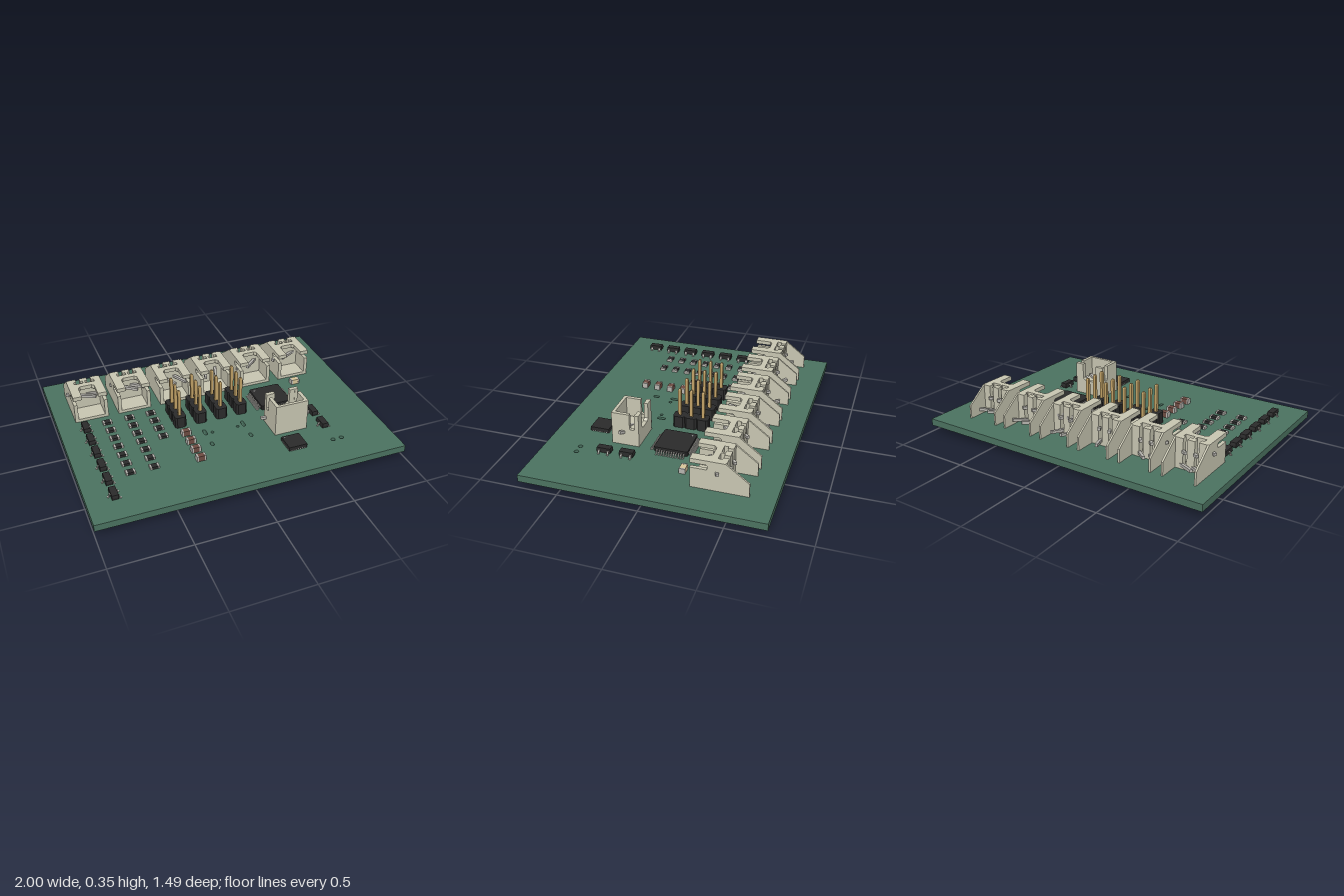
import * as THREE from 'three';

const paint = (color, extra = {}) => new THREE.MeshStandardMaterial({ color, flatShading: true, ...extra });
const mats = {
  board: paint(0x4b7260), housing: paint(0xc8c6b2), black: paint(0x2b2b2b), gold: paint(0xc2a266),
  metal: paint(0xb8b6b0), brown: paint(0x6e4c42), tan: paint(0xd8c69a), grey: paint(0x888888),
};
const TOP = 0.105; // upper face of the board

function add(parent, name, geo, mat, x = 0, y = 0, z = 0) {
  const m = new THREE.Mesh(geo, mats[mat]);
  m.name = name;
  m.position.set(x, y, z);
  parent.add(m);
  return m;
}
function group(parent, name, x = 0, y = 0, z = 0) {
  const g = new THREE.Group();
  g.name = name;
  g.position.set(x, y, z);
  parent.add(g);
  return g;
}
const box = (w, h, d) => new THREE.BoxGeometry(w, h, d);
const poly = (pts) => new THREE.Shape(pts.map(([x, y]) => new THREE.Vector2(x, y)));
const extrude = (shape, depth) => new THREE.ExtrudeGeometry(shape, { depth, bevelEnabled: false, curveSegments: 8 });
// plan (x, z) outline, extruded downwards from y = 0
const plan = (shape, t) => extrude(shape, t).rotateX(Math.PI / 2);
// side (z, y) outline, centred in x
const side = (shape, t) => extrude(shape, t).rotateY(-Math.PI / 2).translate(t / 2, 0, 0);

// square wire through a list of [y, z] points
function wire(parent, name, x, pts, s = 0.018) {
  for (let i = 1; i < pts.length; i++) {
    const a = new THREE.Vector3(x, ...pts[i - 1]), b = new THREE.Vector3(x, ...pts[i]);
    const m = add(parent, name, box(s, s, a.distanceTo(b) + s * 0.5), 'metal');
    m.position.copy(a).lerp(b, 0.5);
    m.lookAt(b);
  }
}

function slotHole(x, z, r, half) {
  const p = new THREE.Path();
  p.absarc(x, z + half, r, 0, Math.PI, false);
  p.absarc(x, z - half, r, Math.PI, Math.PI * 2, false);
  p.closePath();
  return p;
}

function buildBoard(parent) {
  const s = poly([[-1, -0.745], [1, -0.745], [1, 0.745], [-1, 0.745]]);
  for (const x of [-0.125, 0.14]) s.holes.push(slotHole(x, 0.16, 0.011, 0.017), slotHole(x, 0.29, 0.011, 0.009));
  for (const x of [-0.08, 0.096]) s.holes.push(slotHole(x, 0.175, 0.01, 0.0005));
  for (const x of [0.607, 0.667]) s.holes.push(slotHole(x, 0.523, 0.014, 0.0005));
  add(parent, 'board', plan(s, 0.045), 'board', 0, TOP, 0);
}

// Socket: opens towards +z, rear at z = 0, top at y = 0, keyed U notch in the top wall.
const W = 0.2225, DEPTH = 0.215;
function buildHousing(parent, H, wings) {
  const g = group(parent, 'connectorHousing');
  // side profile with the slot near the open end
  const wall = (rear) => {
    const slot = [[DEPTH, -0.06], [0.118, -0.06], [0.111, -0.053], [0.111, -0.035], [0.118, -0.028], [DEPTH, -0.028]];
    return poly([[rear, -H], [DEPTH, -H], ...slot, [DEPTH, 0], [0.005, 0], [rear, rear < 0 ? -0.106 : 0]]);
  };
  for (const s of [-1, 1]) {
    add(g, 'sideWall', side(wall(wings ? -0.135 : 0), 0.012), 'housing', s * (W / 2 - 0.006));
    add(g, 'wallLining', side(wall(0), 0.011), 'housing', s * (W / 2 - 0.0175));
  }
  const inner = W / 2 - 0.023;
  // rear edge with a T-shaped relief around each pin
  const rearEdge = [];
  for (const x of [-0.037, 0.037]) {
    rearEdge.push([x - 0.013, 0], [x - 0.013, 0.035], [x - 0.03, 0.035], [x - 0.03, 0.06],
      [x + 0.03, 0.06], [x + 0.03, 0.035], [x + 0.013, 0.035], [x + 0.013, 0]);
  }
  const relief = wings ? rearEdge : [];
  const base = poly([[-inner, 0], ...relief, [inner, 0], [inner, 0.085], [-inner, 0.085]]);
  add(g, 'rearBlock', plan(base, H - 0.036), 'housing', 0, -0.024, 0);
  const u = 0.053;
  const lid = poly([[-inner, 0], ...relief, [inner, 0], [inner, DEPTH], [u, DEPTH], [u, 0.113], [u - 0.015, 0.098],
    [-u + 0.015, 0.098], [-u, 0.113], [-u, DEPTH], [-inner, DEPTH]]);
  add(g, 'notchedWall', plan(lid, 0.026), 'housing');
  add(g, 'plainWall', box(inner * 2, 0.02, DEPTH), 'housing', 0, -H + 0.01, DEPTH / 2);
  return g;
}

function buildSideConnector(parent, x) {
  const g = group(parent, 'sideConnector', x, 0, -0.457);
  buildHousing(g, 0.192, true).position.y = 0.297;
  for (const px of [-0.037, 0.037]) {
    wire(g, 'connectorPin', px, [[0.225, 0.19], [0.225, -0.002], [0.21, -0.014], [0.055, -0.005], [0.004, -0.018]]);
  }
}

function buildUprightConnector(parent) {
  const g = group(parent, 'uprightConnector', 0.393, 0, 0.176);
  const h = buildHousing(g, 0.176, false);
  h.rotation.x = -Math.PI / 2;
  h.position.y = TOP;
  for (const px of [-0.035, 0.035]) wire(g, 'connectorPin', px, [[0.29, 0.068], [0.055, 0.062], [0.004, 0.074]]);
}

// three-way pin header
function buildHeader(parent, x) {
  const g = group(parent, 'pinHeader', x, 0, -0.058);
  const a = 0.0375, c = 0.012, p = 0.077;
  const right = [], left = [];
  for (const z of [-p, 0, p]) {
    right.push([a - c, z - p / 2], [a, z - p / 2 + c], [a, z + p / 2 - c], [a - c, z + p / 2]);
    left.unshift([c - a, z + p / 2], [-a, z + p / 2 - c], [-a, z - p / 2 + c], [c - a, z - p / 2]);
  }
  // shared corners between neighbouring sections appear once
  const outline = [...right, ...left].filter((q, i, l) => i === 0 || Math.hypot(q[0] - l[i - 1][0], q[1] - l[i - 1][1]) > 1e-4);
  add(g, 'headerBody', plan(poly(outline), 0.078), 'black', 0, TOP + 0.078, 0);
  const prof = [[0, 0.018], [0.008, 0.018], [0.014, 0.028], [0.014, 0.36], [0.008, 0.37], [0, 0.37]];
  const pin = new THREE.LatheGeometry(prof.map((q) => new THREE.Vector2(...q)), 4).rotateY(Math.PI / 4);
  for (const z of [-p, 0, p]) add(g, 'headerPin', pin, 'gold', 0, 0, z);
}

// bent lead running along +x
function lead(L, h, w) {
  const t = 0.005;
  return extrude(poly([[-0.004, h - t], [0.25 * L, h - t], [0.4 * L, 0], [L, 0], [L, t], [0.6 * L, t], [0.4 * L, h], [-0.004, h]]), w)
    .translate(0, 0, -w / 2);
}

function buildTransistor(parent, x, z, flip) {
  const g = group(parent, 'transistor', x, TOP, z);
  if (flip) g.rotation.y = Math.PI;
  const a = 0.022, b = 0.019;
  const body = side(poly([[-0.043, 0.005], [0.043, 0.005], [0.046, 0.02], [0.043, 0.037], [-0.043, 0.037], [-0.046, 0.02]]), a + b);
  add(g, 'transistorBody', body, 'black', (a - b) / 2, 0, 0);
  const l = lead(0.018, 0.022, 0.013);
  for (const lz of [-0.029, 0.029]) add(g, 'transistorLead', l, 'metal', a, 0, lz);
  add(g, 'transistorLead', l, 'metal', -b, 0, 0).rotation.y = Math.PI;
}

// two-terminal chip, long side along x
function buildChip(parent, name, x, z, h, mat, ends) {
  const g = group(parent, name, x, TOP, z);
  add(g, name + 'Body', box(0.038, h, 0.037), mat, 0, h / 2, 0);
  for (const s of [-1, 1]) add(g, name + 'Terminal', box(0.011, h + 0.001, 0.038), ends, s * 0.0245, h / 2, 0);
}

function buildProcessor(parent) {
  const g = group(parent, 'processor', 0.42, TOP, -0.035);
  const half = 0.107, c = 0.008;
  const e = half - c;
  const shape = poly([[-e, -half], [e, -half], [half, -e], [half, e], [e, half], [-e, half], [-half, e], [-half, -e]]);
  add(g, 'processorBody', plan(shape, 0.032), 'black', 0, 0.037, 0);
  add(g, 'pinOneMark', new THREE.CylinderGeometry(0.007, 0.007, 0.001, 12), 'grey', -0.08, 0.0372, -0.08);
  const l = lead(0.03, 0.022, 0.008);
  for (let k = 0; k < 4; k++) {
    const row = group(g, 'leadRow');
    row.rotation.y = k * Math.PI / 2;
    for (let i = 0; i < 12; i++) add(row, 'processorLead', l, 'metal', half, 0, (i - 5.5) * 0.0154);
  }
}

export function createModel() {
  const model = new THREE.Group();
  model.name = 'circuitBoard';
  buildBoard(model);
  for (let i = 0; i < 6; i++) buildSideConnector(model, -0.765 + i * 0.291);
  buildUprightConnector(model);
  for (let i = 0; i < 4; i++) buildHeader(model, -0.249 + i * 0.1417);
  buildProcessor(model);

  // small flat chip with edge contacts
  const flat = group(model, 'flatChip', 0.355, TOP, 0.476);
  add(flat, 'flatChipBody', box(0.122, 0.027, 0.122), 'black', 0, 0.0145, 0);
  add(flat, 'pinOneMark', new THREE.CylinderGeometry(0.006, 0.006, 0.001, 12), 'grey', -0.045, 0.0283, -0.045);
  for (let k = 0; k < 4; k++) {
    const row = group(flat, 'contactRow');
    row.rotation.y = k * Math.PI / 2;
    for (let i = 0; i < 7; i++) add(row, 'contact', box(0.012, 0.006, 0.007), 'metal', 0.0555, 0.003, (i - 3) * 0.015);
  }

  for (let i = 0; i < 6; i++) buildTransistor(model, -0.833, -0.142 + i * 0.137, false);
  for (const z of [0.211, 0.356]) buildTransistor(model, 0.615, z, false);

  // resistor columns, capacitors and indicator light
  [[-0.685, 7], [-0.535, 7], [-0.39, 4]].forEach(([x, n]) => {
    for (let i = 0; i < n; i++) buildChip(model, 'resistor', x, -0.163 + i * 0.0905, 0.016, 'black', 'metal');
  });
  for (let i = 0; i < 4; i++) buildChip(model, 'capacitor', -0.246, 0.137 + i * 0.091, 0.036, 'brown', 'metal');
  buildChip(model, 'indicatorLight', 0.668, -0.163, 0.034, 'tan', 'metal');
  return model;
}
